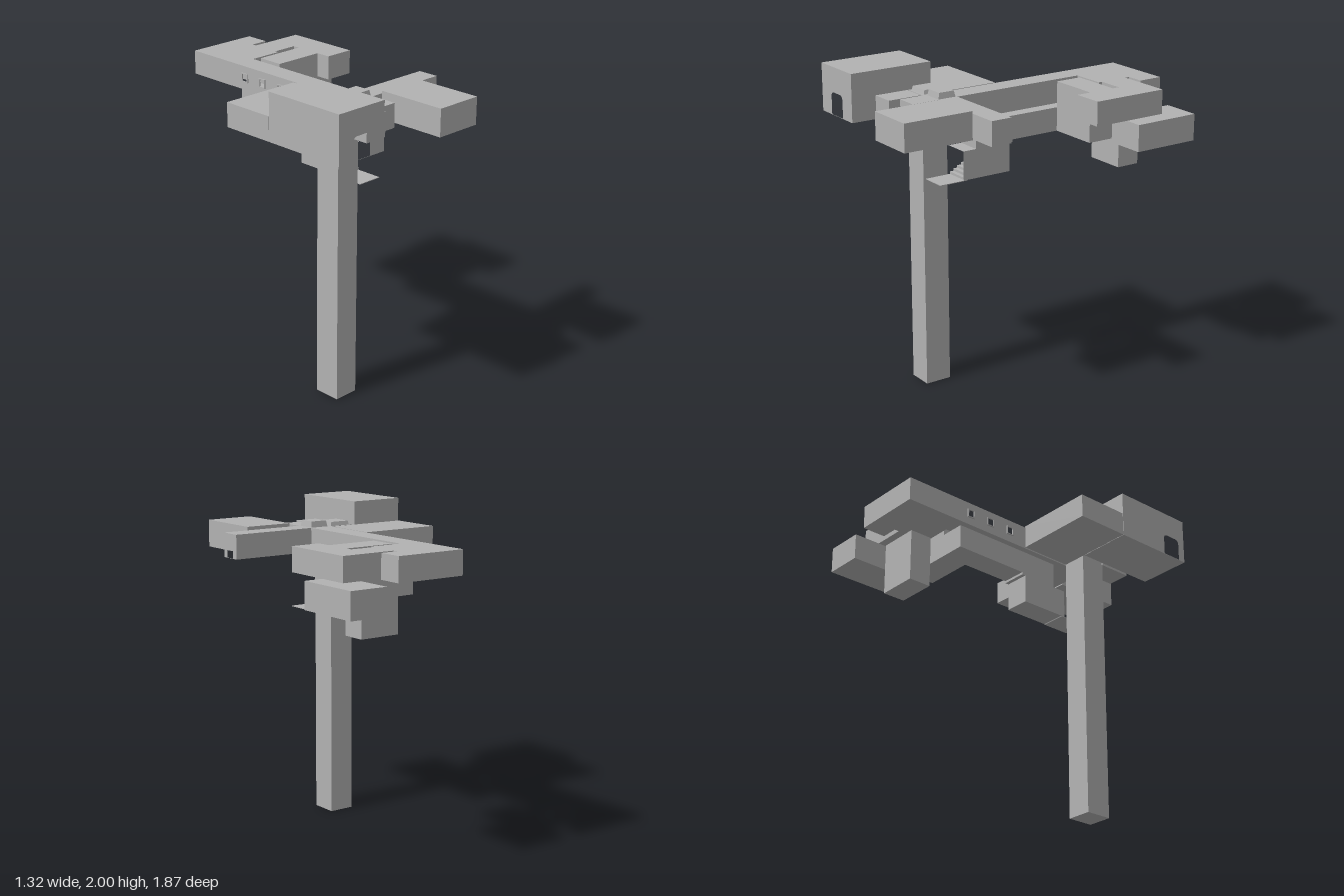
import * as THREE from 'three';
import { mergeGeometries } from 'three/addons/utils/BufferGeometryUtils.js';

const grey = new THREE.MeshStandardMaterial({ color: 0xb2b2b2 });
grey.name = 'plain grey';

// Opening with rounded or square top corners, in face coordinates
function opening(a, b, y0, y1, r) {
  const p = new THREE.Path();
  p.moveTo(a, y0);
  p.lineTo(b, y0);
  p.lineTo(b, y1 - r);
  if (r) p.quadraticCurveTo(b, y1, b - r, y1);
  p.lineTo(a + r, y1);
  if (r) p.quadraticCurveTo(a, y1, a, y1 - r);
  p.lineTo(a, y0);
  return p;
}

// One wall, floor or roof as a flat face with optional openings
function panel(w, h, holes = []) {
  const s = new THREE.Shape();
  s.moveTo(-w / 2, -h / 2);
  s.lineTo(w / 2, -h / 2);
  s.lineTo(w / 2, h / 2);
  s.lineTo(-w / 2, h / 2);
  s.closePath();
  s.holes.push(...holes);
  return new THREE.ShapeGeometry(s, 4);
}

// Thin-walled room. holes: { front|back|left|right: [[from, to, y0, y1, radius]] }, skip: face names left out
function room(name, [x0, x1], [y0, y1], [z0, z1], holes = {}, skip = []) {
  const w = x1 - x0, h = y1 - y0, d = z1 - z0;
  const cx = (x0 + x1) / 2, cy = (y0 + y1) / 2, cz = (z0 + z1) / 2;
  const walls = {
    front: [w, 0, cx, 1, 0, d / 2],
    back: [w, Math.PI, cx, -1, 0, -d / 2],
    left: [d, Math.PI / 2, cz, -1, w / 2, 0],
    right: [d, -Math.PI / 2, cz, 1, -w / 2, 0],
  };
  const parts = [];
  for (const [side, [width, turn, c, sign, dx, dz]] of Object.entries(walls)) {
    if (skip.includes(side)) continue;
    const cut = (holes[side] || []).map(([a, b, lo, hi, r]) => {
      const u = [(a - c) * sign, (b - c) * sign].sort((m, n) => m - n);
      return opening(u[0], u[1], lo - cy, hi - cy, r);
    });
    parts.push(panel(width, h, cut).rotateY(turn).translate(dx, 0, dz));
  }
  if (!skip.includes('top')) parts.push(panel(w, d).rotateX(-Math.PI / 2).translate(0, h / 2, 0));
  if (!skip.includes('bottom')) parts.push(panel(w, d).rotateX(Math.PI / 2).translate(0, -h / 2, 0));
  const mesh = new THREE.Mesh(mergeGeometries(parts), grey);
  mesh.name = name;
  mesh.position.set(cx, cy, cz);
  return mesh;
}

function box(name, [x0, x1], [y0, y1], [z0, z1]) {
  const mesh = new THREE.Mesh(new THREE.BoxGeometry(x1 - x0, y1 - y0, z1 - z0), grey);
  mesh.name = name;
  mesh.position.set((x0 + x1) / 2, (y0 + y1) / 2, (z0 + z1) / 2);
  return mesh;
}

// Low roof cap, drawn in slightly at the top
function cap(name, xs, ys, zs) {
  const mesh = box(name, xs, ys, zs);
  const p = mesh.geometry.attributes.position;
  for (let i = 0; i < p.count; i++) {
    if (p.getY(i) < 0) continue;
    p.setX(i, p.getX(i) - Math.sign(p.getX(i)) * 0.007);
    p.setZ(i, p.getZ(i) - Math.sign(p.getZ(i)) * 0.007);
  }
  mesh.geometry.computeVertexNormals();
  return mesh;
}

export function createModel() {
  const model = new THREE.Group();
  model.name = 'connectedRooms';
  const add = (...m) => model.add(...m);
  const upper = [1.705, 1.855];

  // Tall shaft
  add(box('shaft', [-0.29, -0.13], [0, 1.705], [0.32, 0.49]));

  // Main corridor with windows on its right wall
  const windows = [-0.47, -0.315, -0.155, 0.02];
  add(room('mainCorridor', [-0.13, 0.01], upper, [-0.94, 0.64], {
    right: windows.slice(0, 3).map((z) => [z - 0.02, z + 0.02, 1.76, 1.805, 0]),
  }));
  for (const z of windows) {
    const frame = new THREE.Group();
    frame.name = 'windowFrame';
    for (const s of [-1, 1]) {
      const y = 1.7825 + s * 0.025, e = z + s * 0.0235;
      frame.add(box('frameRail', [-0.137, -0.13], [y - 0.003, y + 0.003], [z - 0.027, z + 0.027]));
      frame.add(box('frameStile', [-0.137, -0.13], [1.758, 1.807], [e - 0.0035, e + 0.0035]));
    }
    add(frame);
  }

  // Rear wing
  add(room('rearHall', [0.01, 0.22], upper, [-0.94, -0.55]));
  add(room('rearStub', [0.22, 0.33], upper, [-0.94, -0.785]));
  add(room('rearPassage', [0.22, 0.38], upper, [-0.755, -0.575]));
  add(room('rearSideRoom', [0.38, 0.57], upper, [-0.755, -0.265]));
  add(room('rearBridge', [0.055, 0.38], [1.545, 1.855], [-0.53, -0.36]));
  add(room('rearLowerRoom', [0.41, 0.655], [1.53, 1.695], [-0.94, -0.51]));
  add(room('rearCellar', [0.15, 0.41], [1.365, 1.7], [-0.71, -0.56]));

  // Rooms on the right
  add(room('tallRoom', [-0.66, -0.31], [1.705, 2], [0.315, 0.86], {
    front: [[-0.55, -0.42, 1.707, 1.845, 0.03]],
    right: [[0.68, 0.81, 1.707, 1.845, 0.03]],
  }));
  add(room('lowRoom', [-0.66, -0.14], upper, [-0.035, 0.312]));

  // Junction cells and roof caps
  add(room('junctionCell', [-0.29, -0.13], upper, [0.32, 0.485]));
  add(room('frontCell', [-0.29, -0.14], upper, [0.493, 0.71]));
  add(cap('junctionCap', [-0.28, -0.14], [1.855, 1.88], [0.333, 0.47]));
  add(cap('corridorCap', [-0.12, 0.003], [1.855, 1.892], [0.343, 0.46]));

  // Left arm and front room
  add(room('leftArm', [0.01, 0.56], upper, [0.335, 0.47], {
    left: [[0.373, 0.438, 1.707, 1.815, 0.015]],
  }));
  add(room('frontRoom', [0.075, 0.385], [1.705, 1.875], [0.48, 0.93]));

  // Lower corridor and stairwell
  add(room('lowerCorridor', [-0.105, 0.055], [1.53, 1.693], [-0.03, 0.235]));
  add(room('lowerCorridorRear', [-0.105, 0.055], [1.545, 1.693], [-0.53, -0.03]));
  add(room('stairwell', [-0.105, 0.055], [1.35, 1.53], [-0.005, 0.325], {}, ['front']));
  add(box('stairLanding', [-0.105, 0.055], [1.346, 1.35], [0.3, 0.488]));
  const steps = 12, rise = 0.178 / steps, run = 0.32 / steps;
  for (let i = 0; i < steps; i++) {
    const z = 0.32 - i * run;
    add(box('stairStep', [-0.103, 0.053], [1.351 + i * rise, 1.351 + (i + 1) * rise], [z - run, z]));
  }
  return model;
}
